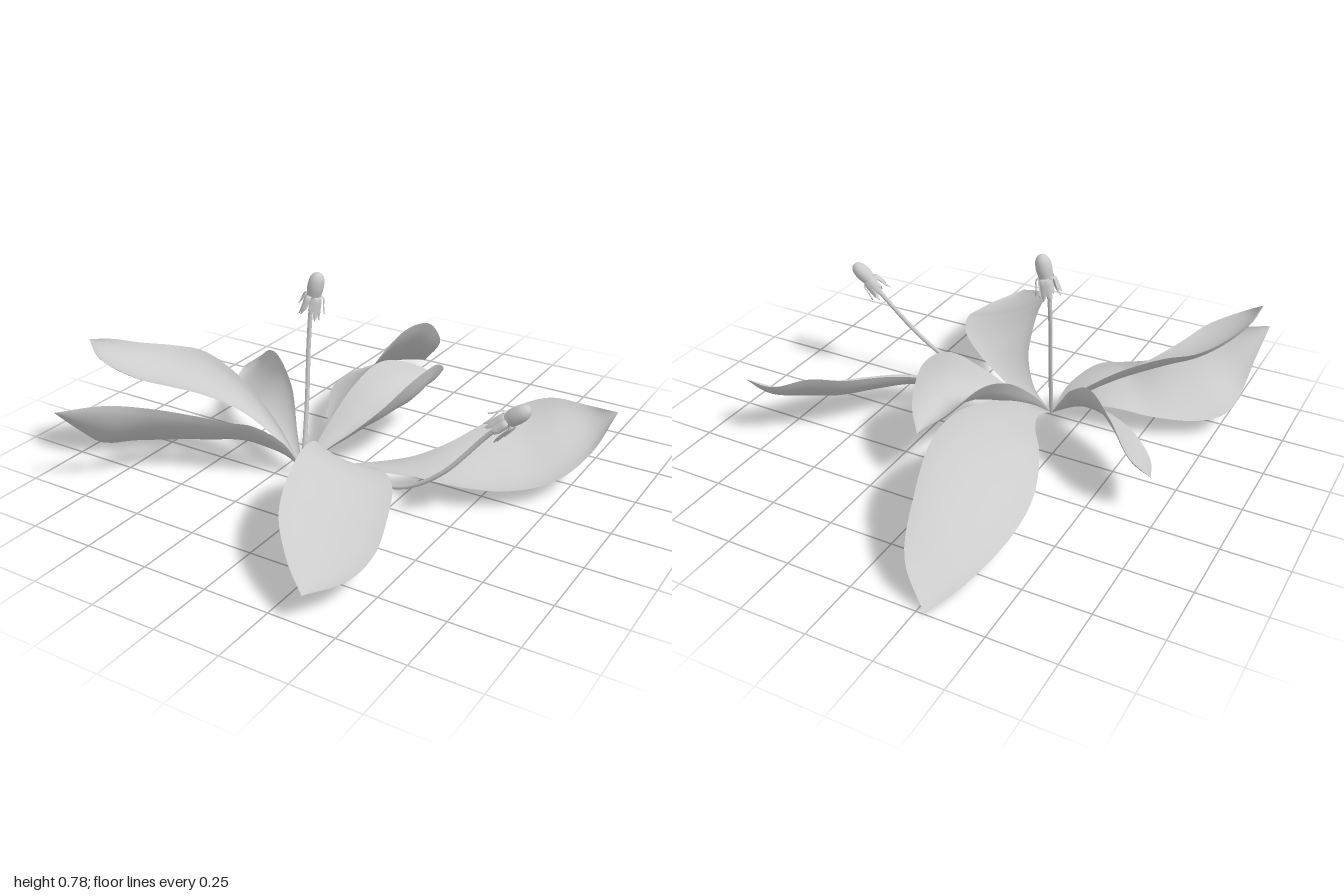
import * as THREE from 'three';

const CROWN = [-0.14, 0.03, 0.22];
const V = (p) => new THREE.Vector3(...p);
const mat = new THREE.MeshStandardMaterial({ color: 0xcccccc, side: THREE.DoubleSide });
const spline = (pts) => new THREE.CatmullRomCurve3(pts.map(V));

// Blade spanned between its two edge curves; the midrib sags below them.
function leaf(name, tip, left, right, sag) {
  const l = spline([CROWN, ...left, tip]), r = spline([CROWN, ...right, tip]);
  const NU = 48, NV = 12, pos = [], idx = [];
  const mid = (u) => l.getPointAt(u).lerp(r.getPointAt(u), 0.5);
  for (let i = 0; i <= NU; i++) {
    const u = i / NU, a = l.getPointAt(u), b = r.getPointAt(u);
    const along = mid(Math.min(1, u + 0.02)).sub(mid(Math.max(0, u - 0.02))).normalize();
    const down = b.clone().sub(a).cross(along).multiplyScalar(-sag);
    for (let j = 0; j <= NV; j++) {
      const v = j / NV, p = a.clone().lerp(b, v);
      p.addScaledVector(down, Math.pow(4 * v * (1 - v), 0.8));
      p.y = Math.max(0, p.y);
      pos.push(p.x, p.y, p.z);
    }
  }
  for (let i = 0; i < NU; i++) for (let j = 0; j < NV; j++) {
    const a = i * (NV + 1) + j, b = a + NV + 1;
    idx.push(a, a + 1, b, a + 1, b + 1, b);
  }
  const g = new THREE.BufferGeometry();
  g.setAttribute('position', new THREE.Float32BufferAttribute(pos, 3));
  g.setIndex(idx);
  g.computeVertexNormals();
  const m = new THREE.Mesh(g, mat);
  m.name = name;
  return m;
}

// Narrow pointed bract that arches out and hangs back along the stem.
function bract(reach, drop, width) {
  const c = spline([[0.014, 0.012, 0], [reach * 0.7, 0.008, 0], [reach * 0.85, -drop * 0.45, 0], [reach, -drop, 0]]);
  const g = new THREE.PlaneGeometry(1, 1, 2, 8), p = g.attributes.position;
  for (let i = 0; i < p.count; i++) {
    const t = 0.5 - p.getY(i), s = p.getX(i) * 2, q = c.getPoint(t);
    const w = width * (0.55 + t) * Math.sqrt(Math.max(0, 1 - t * t));
    p.setXYZ(i, q.x - 0.004 * Math.abs(s), q.y, s * w);
  }
  g.computeVertexNormals();
  return new THREE.Mesh(g, mat);
}

function flowerHead(axis) {
  const head = new THREE.Group();
  head.name = 'flowerHead';
  // closed bud
  const outline = [[0, -0.03], [0.012, -0.026], [0.022, -0.012], [0.025, 0], [0.027, 0.015], [0.03, 0.035],
    [0.03, 0.055], [0.027, 0.075], [0.019, 0.09], [0.01, 0.097], [0, 0.099]];
  const curve = new THREE.SplineCurve(outline.map((p) => new THREE.Vector2(...p)));
  const profile = curve.getPoints(24).map((p) => new THREE.Vector2(Math.max(0, p.x), p.y));
  const bud = new THREE.Mesh(new THREE.LatheGeometry(profile, 20), mat);
  bud.name = 'bud';
  head.add(bud);
  // ring of drooping bracts
  for (let i = 0; i < 12; i++) {
    const b = bract(0.045 + 0.012 * Math.sin(i * 2.3), 0.06 + 0.017 * Math.cos(i * 1.7), 0.012);
    b.name = 'bract';
    b.rotation.y = (i / 12) * Math.PI * 2;
    head.add(b);
  }
  head.quaternion.setFromUnitVectors(new THREE.Vector3(0, 1, 0), V(axis).normalize());
  return head;
}

function flower(name, path, axis) {
  const g = new THREE.Group();
  g.name = name;
  const stem = new THREE.Mesh(new THREE.TubeGeometry(spline([CROWN, ...path]), 40, 0.0085, 8), mat);
  stem.name = 'stem';
  const head = flowerHead(axis);
  head.position.copy(V(path[path.length - 1]));
  g.add(stem, head);
  return g;
}

export function createModel() {
  const model = new THREE.Group();
  model.name = 'plant';
  model.add(
    leaf('backLeaf', [-0.28, 0, -1],
      [[-0.145, 0.09, 0.1], [-0.2, 0.13, -0.05], [-0.29, 0.14, -0.2], [-0.37, 0.11, -0.4], [-0.39, 0.08, -0.6], [-0.35, 0.04, -0.85]],
      [[-0.125, 0.14, 0.08], [-0.1, 0.25, -0.1], [-0.09, 0.34, -0.3], [-0.08, 0.38, -0.45], [-0.08, 0.36, -0.6], [-0.12, 0.27, -0.78], [-0.17, 0.13, -0.93]], 0.09),
    leaf('smallBackLeaf', [0.09, 0.23, -0.42],
      [[-0.115, 0.15, 0.12], [-0.08, 0.29, -0.05], [-0.05, 0.34, -0.2], [0.01, 0.29, -0.35]],
      [[-0.06, 0.12, 0.16], [0.01, 0.18, 0.11], [0.1, 0.27, 0.05], [0.17, 0.36, -0.05], [0.19, 0.38, -0.2], [0.15, 0.3, -0.35]], 0.52),
    leaf('rightBackLeaf', [-0.72, 0.17, -0.2],
      [[-0.28, 0.12, 0.19], [-0.4, 0.16, 0.14], [-0.55, 0.165, 0.05], [-0.67, 0.16, -0.08]],
      [[-0.21, 0.14, 0.15], [-0.3, 0.27, 0.05], [-0.4, 0.34, -0.02], [-0.53, 0.31, -0.13], [-0.64, 0.23, -0.21]], 0.14),
    leaf('rightUpperLeaf', [-0.85, 0.53, 0.55],
      [[-0.28, 0.16, 0.235], [-0.4, 0.25, 0.28], [-0.5, 0.31, 0.35], [-0.58, 0.36, 0.44], [-0.65, 0.41, 0.53], [-0.78, 0.48, 0.58]],
      [[-0.28, 0.19, 0.19], [-0.45, 0.33, 0.18], [-0.6, 0.41, 0.2], [-0.7, 0.43, 0.25], [-0.78, 0.46, 0.35], [-0.83, 0.5, 0.45]], 0.18),
    leaf('rightFrontLeaf', [-0.83, 0.33, 0.78],
      [[-0.19, 0.15, 0.27], [-0.28, 0.23, 0.34], [-0.36, 0.24, 0.38], [-0.48, 0.26, 0.43], [-0.6, 0.31, 0.55], [-0.7, 0.34, 0.66]],
      [[-0.2, 0.08, 0.235], [-0.3, 0.1, 0.24], [-0.4, 0.11, 0.25], [-0.55, 0.09, 0.29], [-0.7, 0.08, 0.36], [-0.78, 0.09, 0.44], [-0.8, 0.13, 0.58], [-0.81, 0.22, 0.68]], 0.13),
    leaf('leftBackLeaf', [0.845, 0.25, -0.43],
      [[-0.03, 0.065, 0.18], [0.1, 0.09, 0.13], [0.25, 0.13, 0.07], [0.35, 0.175, -0.01], [0.42, 0.215, -0.12], [0.5, 0.255, -0.27], [0.6, 0.28, -0.36], [0.72, 0.25, -0.43]],
      [[-0.02, 0.055, 0.2], [0.1, 0.075, 0.175], [0.3, 0.09, 0.145], [0.4, 0.09, 0.135], [0.5, 0.085, 0.11], [0.62, 0.075, 0.04], [0.74, 0.085, -0.09], [0.81, 0.14, -0.27]], 0.16),
    leaf('frontLeaf', [0.38, 0.11, 1],
      [[0, 0.08, 0.21], [0.12, 0.13, 0.24], [0.25, 0.18, 0.3], [0.35, 0.19, 0.4], [0.42, 0.17, 0.55], [0.46, 0.12, 0.7], [0.45, 0.1, 0.85]],
      [[-0.05, 0.1, 0.25], [0.01, 0.2, 0.31], [0.03, 0.27, 0.38], [0.06, 0.31, 0.5], [0.1, 0.29, 0.65], [0.16, 0.23, 0.8], [0.28, 0.16, 0.93]], 0.08),
    flower('tallFlower', [[-0.165, 0.3, 0.145], [-0.177, 0.5, 0.11], [-0.173, 0.64, 0.095], [-0.165, 0.68, 0.092]], [0.22, 1, -0.05]),
    flower('leaningFlower', [[0.1, 0.07, 0.245], [0.2, 0.085, 0.257], [0.33, 0.115, 0.257], [0.46, 0.2, 0.24], [0.6, 0.36, 0.2], [0.672, 0.435, 0.195]], [0.75, 0.62, -0.06]),
  );
  return model;
}
